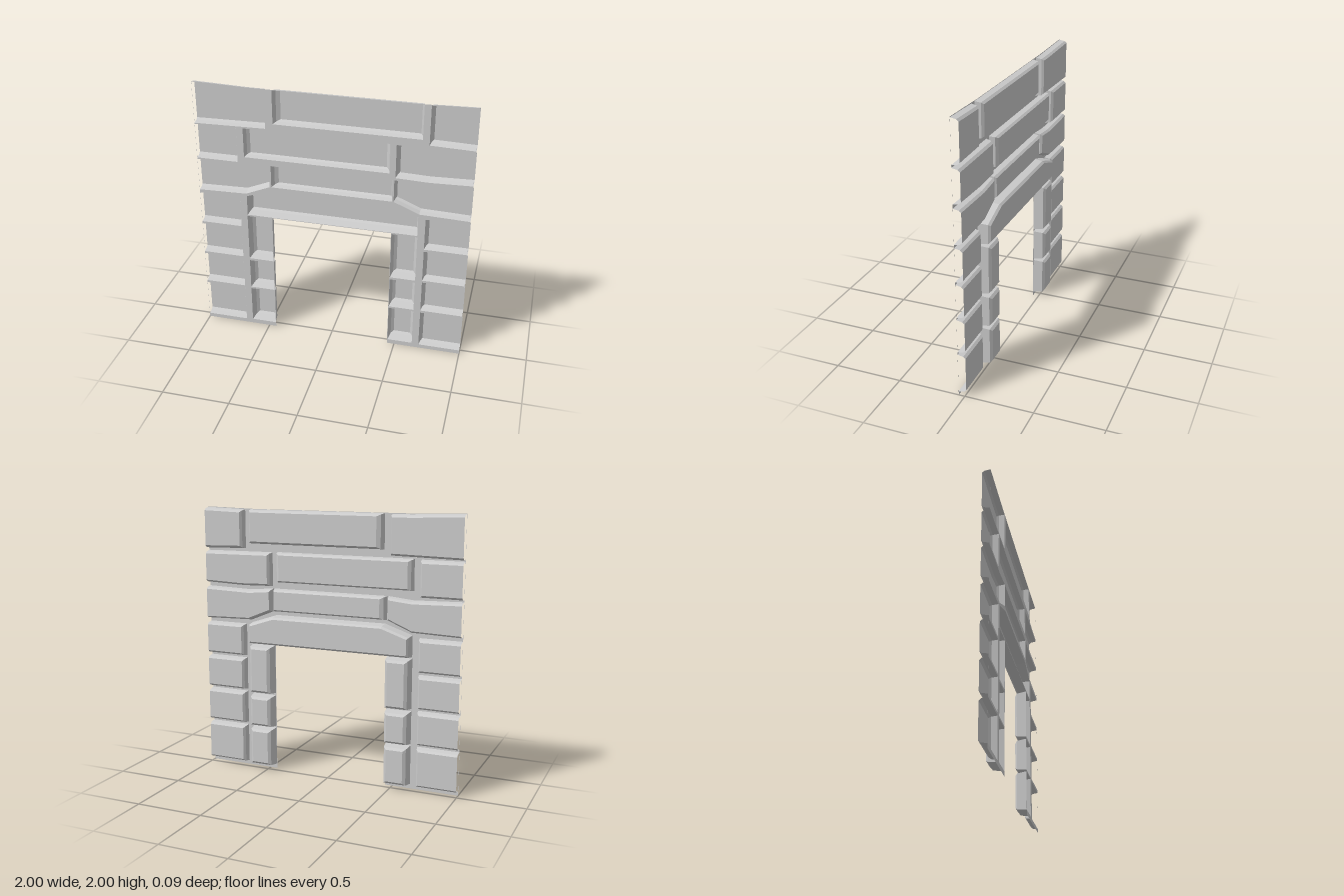
import * as THREE from 'three';

const BACK = 0.045; // mortar plane; the stones stand out towards -z
const material = new THREE.MeshStandardMaterial({ color: 0xcccccc, flatShading: true, side: THREE.DoubleSide });

const rect = (x0, x1, y0, y1) => [[x0, y0], [x1, y0], [x1, y1], [x0, y1]];
const mirror = (pts) => pts.map(([x, y]) => [-x, y]).reverse();

// An edge lying on the wall's outer end is left open
const isCut = (p, q) => Math.abs(p[0]) > 0.999 && Math.abs(q[0]) > 0.999;

// Move each edge of a counter-clockwise outline inwards; sides = [left, right, top and bottom]
function inset(pts, sides, k) {
  const n = pts.length;
  const lines = pts.map((p, i) => {
    const q = pts[(i + 1) % n];
    const dx = q[0] - p[0], dy = q[1] - p[1], len = Math.hypot(dx, dy);
    const nx = -dy / len, ny = dx / len;
    const side = nx > 0.9 ? sides[0] : nx < -0.9 ? sides[1] : sides[2];
    const d = isCut(p, q) ? 0 : side * k;
    return [nx, ny, nx * p[0] + ny * p[1] + d];
  });
  return lines.map((b, i) => {
    const a = lines[(i + n - 1) % n];
    const det = a[0] * b[1] - a[1] * b[0];
    return [(a[2] * b[1] - a[1] * b[2]) / det, (a[0] * b[2] - a[2] * b[0]) / det];
  });
}

// Hollow stone: steep wall, bevel, flat face, open towards +z
function stoneGeometry(pts, sides, face) {
  const rings = [[pts, BACK], [inset(pts, sides, 0.35), face + 0.016], [inset(pts, sides, 1), face]];
  const pos = [];
  const put = ([p, z], i) => pos.push(p[i][0], p[i][1], z);
  for (let r = 0; r < 2; r++) {
    const A = rings[r], B = rings[r + 1];
    pts.forEach((p, i) => {
      const j = (i + 1) % pts.length;
      if (isCut(p, pts[j])) return;
      put(A, i); put(B, i); put(B, j);
      put(A, i); put(B, j); put(A, j);
    });
  }
  const contour = rings[2][0].map((p) => new THREE.Vector2(...p));
  for (const [a, b, c] of THREE.ShapeUtils.triangulateShape(contour, [])) {
    put(rings[2], a); put(rings[2], c); put(rings[2], b);
  }
  const geo = new THREE.BufferGeometry();
  geo.setAttribute('position', new THREE.Float32BufferAttribute(pos, 3));
  geo.computeVertexNormals();
  return geo;
}

export function createModel() {
  const group = new THREE.Group();
  const outlines = [];
  const stone = (name, pts, sides = [0.022, 0.022, 0.022], face = -0.012) => {
    outlines.push(pts);
    const mesh = new THREE.Mesh(stoneGeometry(pts, sides, face), material);
    mesh.name = name;
    group.add(mesh);
  };

  // Top course
  stone('topCourseRight', [[-1, 1.685], [-0.473, 1.695], [-0.473, 1.984], [-0.6, 1.984], [-1, 1.996]], [0.02, 0.015, 0.02]);
  stone('topCourseMiddle', rect(-0.417, 0.64, 1.735, 1.987), [0.043, 0.022, 0.02]);
  stone('topCourseLeft', [[0.685, 1.698], [1, 1.69], [1, 1.996], [0.685, 1.986]]);

  // Second course
  stone('secondCourseRight', rect(-1, -0.69, 1.412, 1.677));
  stone('secondCourseMiddle', rect(-0.64, 0.42, 1.456, 1.68), [0.032, 0.032, 0.018]);
  stone('secondCourseLeft', [[0.462, 1.425], [0.7, 1.418], [1, 1.428], [1, 1.672], [0.462, 1.677]]);

  // Third course, its outer stones cranked over the lintel
  const cranked = [[0.455, 1.237], [0.64, 1.16], [1, 1.15], [1, 1.4], [0.64, 1.39], [0.455, 1.408]];
  stone('thirdCourseLeft', cranked, [0.015, 0.015, 0.02]);
  stone('thirdCourseRight', mirror(cranked), [0.015, 0.015, 0.02]);
  stone('thirdCourseMiddle', rect(-0.443, 0.443, 1.237, 1.408), [0.04, 0.015, 0.018]);

  // Lintel with sloping shoulders
  stone('lintel', [[-0.635, 0.984], [0.635, 0.984], [0.635, 1.14], [0.43, 1.209], [-0.43, 1.209], [-0.635, 1.14]],
    [0.018, 0.018, 0.022], -0.045);

  // Wall stones and door jambs, the same on both sides
  const both = (name, pts, ...rest) => {
    stone(name + 'Left', pts, ...rest);
    stone(name + 'Right', mirror(pts), ...rest);
  };
  [[0.03, 0.326], [0.345, 0.595], [0.612, 0.86], [0.878, 1.125]].forEach(([y0, y1], i) =>
    both('wallStone' + (i + 1), rect(0.688, 1, y0, y1)));
  [[0.035, 0.328], [0.342, 0.585], [0.603, 0.973]].forEach(([y0, y1], i) =>
    both('jambStone' + (i + 1), rect(0.448, 0.637, y0, y1), [0.032, 0.03, 0.026], -0.045));

  // Mortar sheet with the doorway cut out and an opening behind every stone
  const toVec = ([x, y]) => new THREE.Vector2(x, y);
  const sheet = new THREE.Shape([
    [-1, 0], [-0.445, 0], [-0.445, 0.98], [0.445, 0.98], [0.445, 0], [1, 0],
    [1, 2], [0.6, 1.99], [-0.6, 1.99], [-1, 2],
  ].map(toVec));
  for (const pts of outlines) {
    sheet.holes.push(new THREE.Path(pts.map(([x, y]) => toVec([THREE.MathUtils.clamp(x, -0.999, 0.999), y]))));
  }
  const mortarGeo = new THREE.ShapeGeometry(sheet);
  mortarGeo.index.array.reverse(); // face -z
  mortarGeo.computeVertexNormals();
  mortarGeo.translate(0, 0, BACK);
  const mortar = new THREE.Mesh(mortarGeo, material);
  mortar.name = 'mortar';
  group.add(mortar);

  return group;
}
